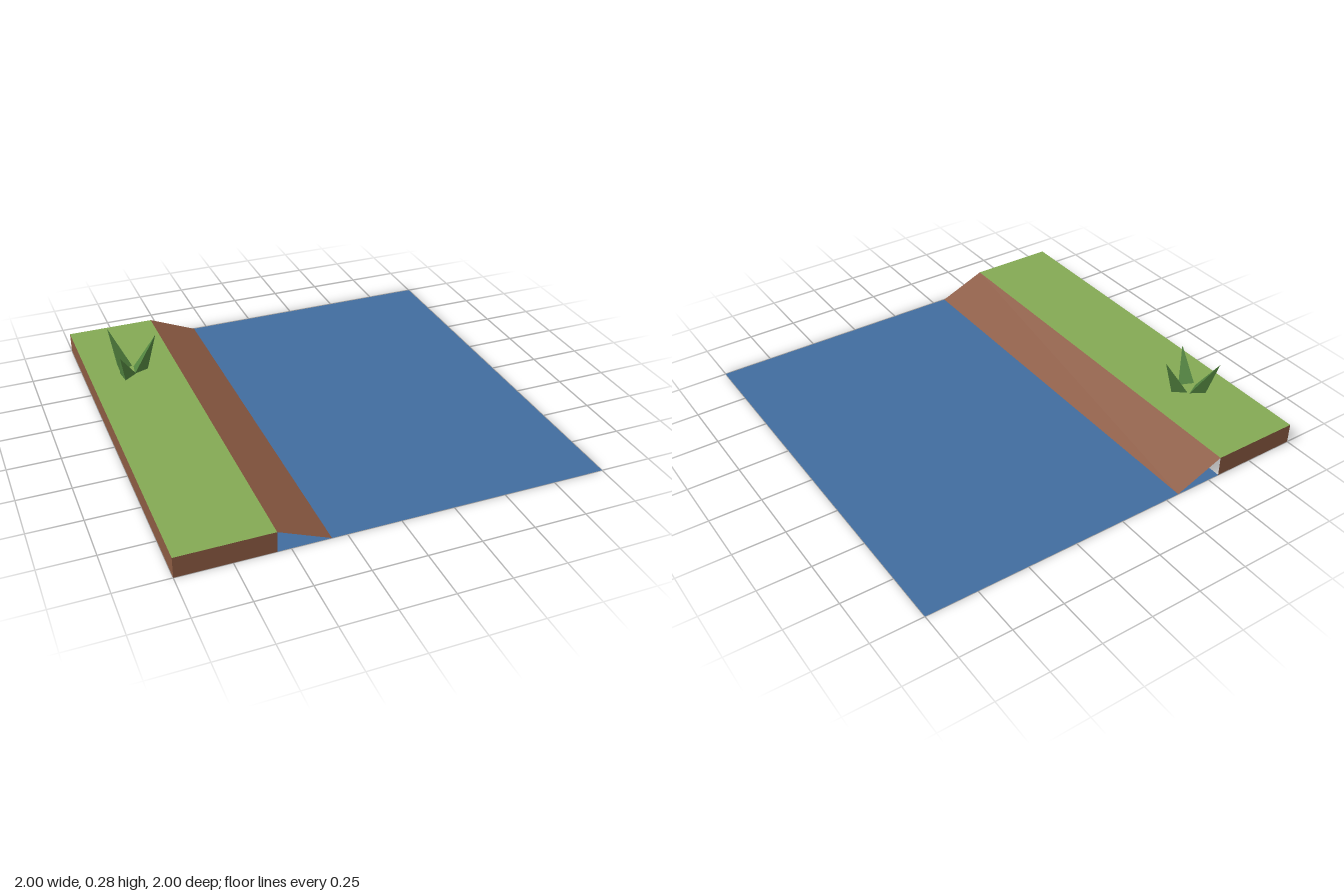
import * as THREE from 'three';

const material = (name, color) => {
  const m = new THREE.MeshStandardMaterial({ color, side: THREE.DoubleSide, flatShading: true });
  m.name = name;
  return m;
};

// Flat-faced mesh from corner points and triangles
function faceted(name, corners, triangles, mat) {
  const g = new THREE.BufferGeometry();
  g.setAttribute('position', new THREE.Float32BufferAttribute(triangles.flatMap(i => corners[i]), 3));
  g.computeVertexNormals();
  const mesh = new THREE.Mesh(g, mat);
  mesh.name = name;
  return mesh;
}

// Four corners, counter-clockwise from outside
const quad = (name, corners, mat) => faceted(name, corners, [0, 1, 2, 0, 2, 3], mat);

export function createModel() {
  const model = new THREE.Group();
  model.name = 'riverBank';
  const turf = material('turf green', 0x84a954);
  const soil = material('soil brown', 0x8b5a42);
  const water = material('water blue', 0x416c9f);
  const leaf = material('leaf green', 0x538540);

  const outer = -1, crest = -0.56, shore = -0.32, top = 0.1;

  // Strips running the whole depth, from (x0, y0) to (x1, y1)
  const strip = (name, x0, y0, x1, y1, mat) =>
    model.add(quad(name, [[x0, y0, 1], [x1, y1, 1], [x1, y1, -1], [x0, y0, -1]], mat));
  strip('grassTop', outer, top, crest, top, turf);
  strip('bankSlope', crest, top, shore, 0, soil);
  strip('outerWall', outer, 0, outer, top, soil);
  strip('waterSurface', crest, 0, 1, 0, water);

  // End walls of the hollow bank, open below and towards the water
  model.add(quad('frontWall', [[outer, 0, 1], [crest, 0, 1], [crest, top, 1], [outer, top, 1]], soil));
  model.add(quad('backWall', [[crest, 0, -1], [outer, 0, -1], [outer, top, -1], [crest, top, -1]], soil));

  // Tuft of three leaning, three-sided blades: base corners (x, z) and tip
  const tuft = new THREE.Group();
  tuft.name = 'grassTuft';
  const blades = [
    { base: [[-0.77, -0.537], [-0.78, -0.463], [-0.708, -0.49]], tip: [-0.658, 0.285, -0.484] },
    { base: [[-0.845, -0.51], [-0.775, -0.548], [-0.843, -0.588]], tip: [-0.866, 0.285, -0.637] },
    { base: [[-0.775, -0.463], [-0.85, -0.495], [-0.84, -0.414]], tip: [-0.866, 0.25, -0.37] },
  ];
  blades.forEach(({ base, tip }, i) => {
    const corners = [...base.map(([x, z]) => [x, top, z]), tip];
    tuft.add(faceted(`grassBlade${i + 1}`, corners, [0, 1, 3, 1, 2, 3, 2, 0, 3], leaf));
  });
  model.add(tuft);

  return model;
}
